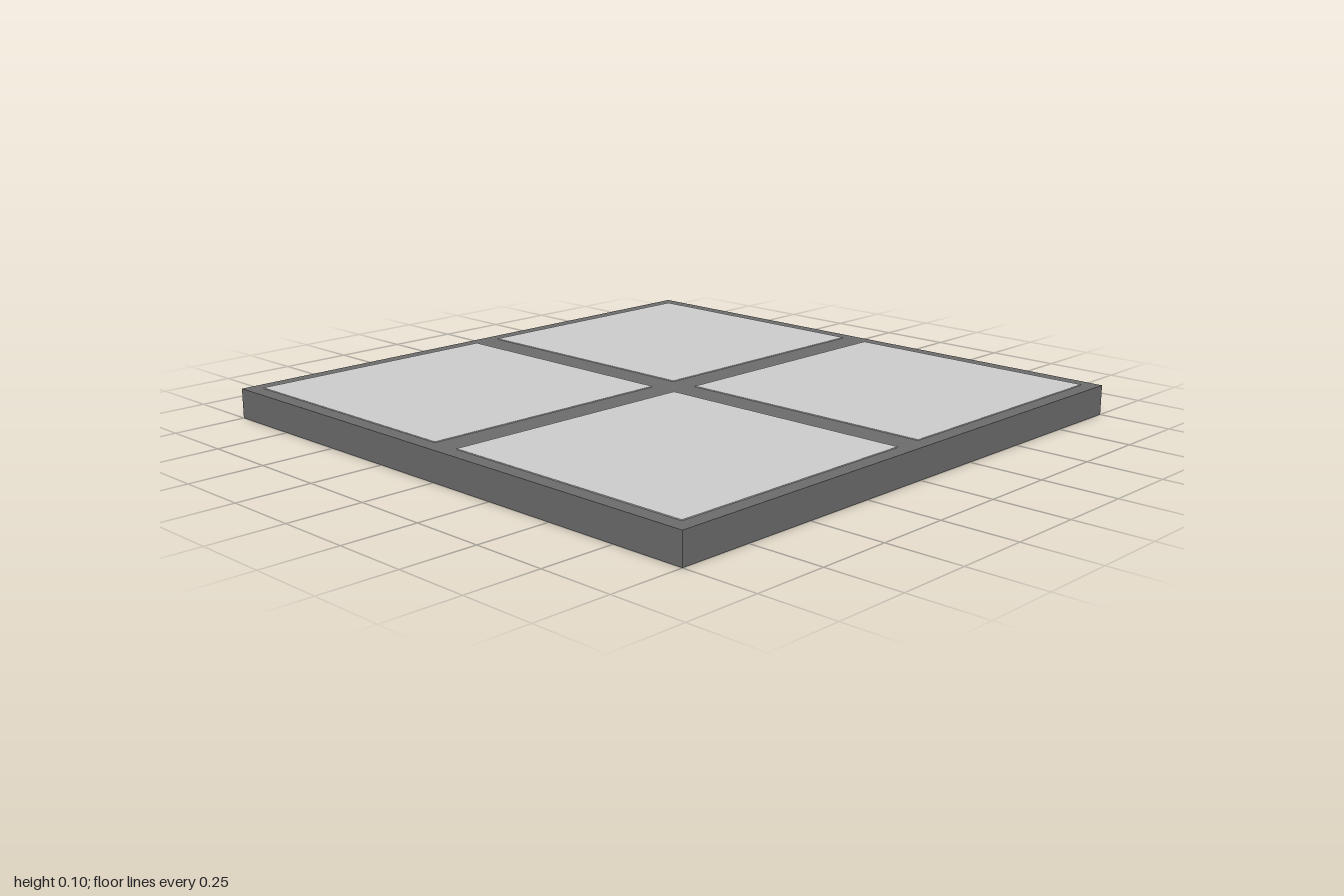
import * as THREE from 'three';

const SLAB_HEIGHT = 0.1;
const TILE_SIZE = 0.9;
const TILE_RISE = 0.003;

export function createModel() {
  const group = new THREE.Group();
  group.name = 'tiledFloor';

  const groutMaterial = new THREE.MeshStandardMaterial({ color: 0x6b6b6b });
  const tileMaterial = new THREE.MeshStandardMaterial({ color: 0xcccccc });

  // Dark base slab, visible as the border and the joints
  const slab = new THREE.Mesh(new THREE.BoxGeometry(2, SLAB_HEIGHT, 2), groutMaterial);
  slab.name = 'baseSlab';
  slab.position.y = SLAB_HEIGHT / 2;
  group.add(slab);

  // Four thin tiles, barely proud of the slab
  const tileGeometry = new THREE.BoxGeometry(TILE_SIZE, TILE_RISE * 2, TILE_SIZE);
  for (const x of [-0.5, 0.5]) {
    for (const z of [-0.5, 0.5]) {
      const tile = new THREE.Mesh(tileGeometry, tileMaterial);
      tile.name = `${z > 0 ? 'front' : 'back'}${x > 0 ? 'Left' : 'Right'}Tile`;
      tile.position.set(x, SLAB_HEIGHT, z);
      group.add(tile);
    }
  }

  return group;
}
